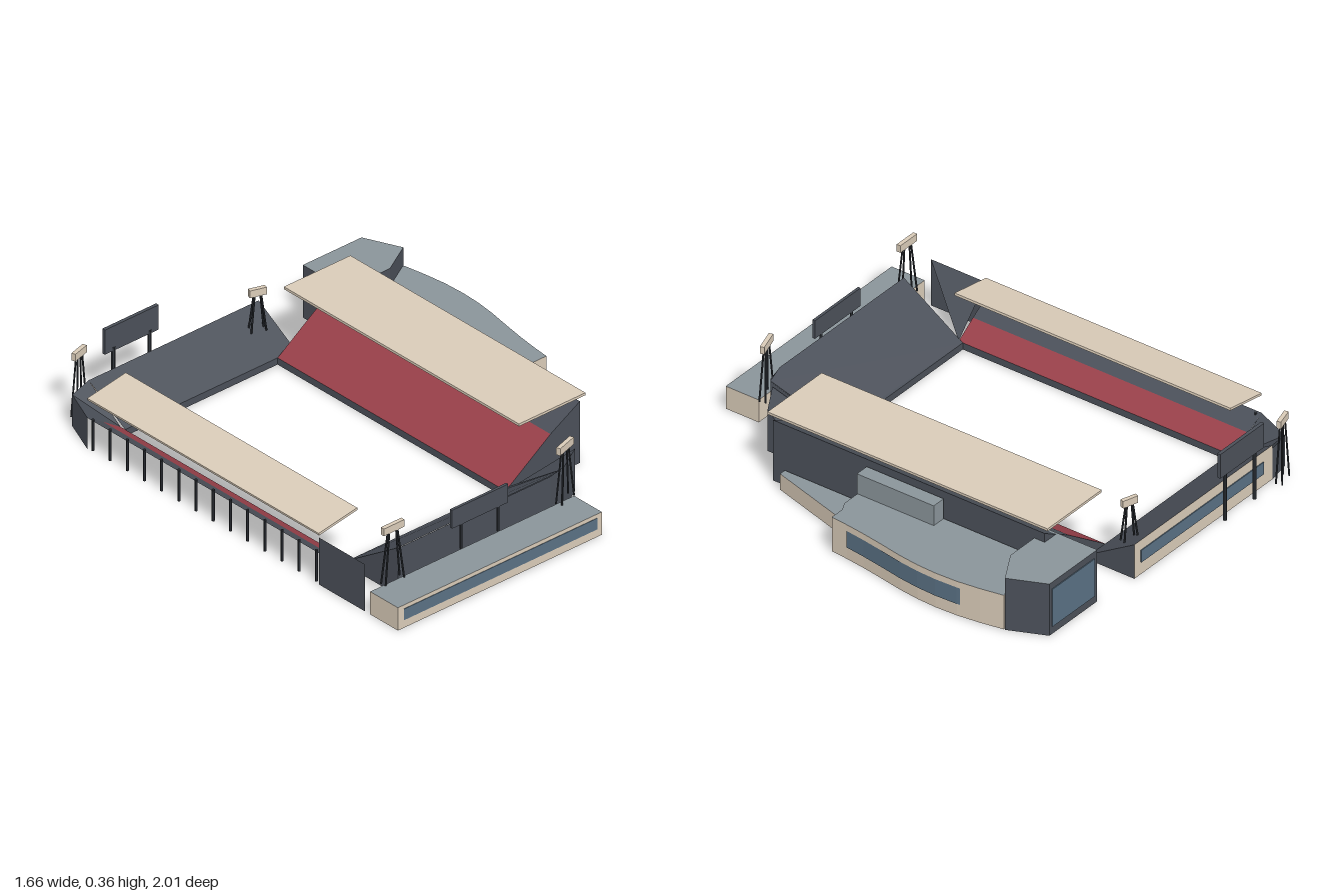
import * as THREE from 'three';

const mat = (color) => new THREE.MeshStandardMaterial({ color, flatShading: true, side: THREE.DoubleSide });

export function createModel() {
  const root = new THREE.Group();
  const beige = mat(0xd9cbb8), dark = mat(0x4b5059), slate = mat(0x8a949a);
  const red = mat(0x99404a), glass = mat(0x5a7184), steel = mat(0x2e3238);

  const add = (name, geometry, material, parent = root) => {
    const m = new THREE.Mesh(geometry, material);
    m.name = name;
    parent.add(m);
    return m;
  };
  const group = (name, parent = root) => {
    const g = new THREE.Group();
    g.name = name;
    parent.add(g);
    return g;
  };
  // Flat convex polygons, each a list of [x, y, z] corners
  const patch = (name, material, polygons, parent) => {
    const pos = [];
    for (const p of polygons)
      for (let i = 1; i < p.length - 1; i++) pos.push(...p[0], ...p[i], ...p[i + 1]);
    const g = new THREE.BufferGeometry();
    g.setAttribute('position', new THREE.Float32BufferAttribute(pos, 3));
    g.computeVertexNormals();
    return add(name, g, material, parent);
  };
  // Upright strip over a line of [x, z] points
  const strip = (name, material, line, y0, y1, parent) =>
    patch(name, material, line.slice(1).map(([x, z], i) => {
      const [px, pz] = line[i];
      return [[px, y0, pz], [x, y0, z], [x, y1, z], [px, y1, pz]];
    }), parent);
  // Building shell: walls and a flat roof, open underneath
  const shell = (name, outline, height, wall, roof) => {
    const g = group(name);
    strip('walls', wall, [...outline, outline[0]], 0, height, g);
    const top = new THREE.ShapeGeometry(new THREE.Shape(outline.map(([x, z]) => new THREE.Vector2(x, -z))));
    add('flatRoof', top.rotateX(-Math.PI / 2).translate(0, height, 0), roof, g);
    return g;
  };
  const box = (name, material, x0, x1, y0, y1, z0, z1, parent) => {
    const m = add(name, new THREE.BoxGeometry(x1 - x0, y1 - y0, z1 - z0), material, parent);
    m.position.set((x0 + x1) / 2, (y0 + y1) / 2, (z0 + z1) / 2);
    return m;
  };
  // Round bar between two points
  const bar = (name, a, b, r, parent) => {
    const va = new THREE.Vector3(...a), d = new THREE.Vector3(...b).sub(va);
    const m = add(name, new THREE.CylinderGeometry(r, r, d.length(), 6), steel, parent);
    m.position.copy(va).addScaledVector(d, 0.5);
    m.quaternion.setFromUnitVectors(new THREE.Vector3(0, 1, 0), d.normalize());
  };
  // Side stand running along z, from a profile of lip, seat break and back row
  const sideStand = (name, [[x0, y0], [x1, y1], [x2, y2]], za, zb) => {
    const g = group(name);
    const run = (n, m, xa, ya, xb, yb) =>
      patch(n, m, [[[xa, ya, za], [xa, ya, zb], [xb, yb, zb], [xb, yb, za]]], g);
    run('frontLip', dark, x0, 0, x0, y0);
    run('lowerSeats', red, x0, y0, x1, y1);
    run('upperSeats', dark, x1, y1, x2, y2);
    return g;
  };

  // East stand with closed back and ends
  const eastProfile = [[0.12, 0.03], [0.35, 0.19], [0.5, 0.275]];
  const east = sideStand('eastStand', eastProfile, -0.745, 0.555);
  patch('endWalls', dark, [-0.745, 0.555].map((z) =>
    [[0.5, 0, z], [0.12, 0, z], ...eastProfile.map(([x, y]) => [x, y, z])]), east);
  strip('backWall', dark, [[0.5, -0.745], [0.5, 0.555]], 0, 0.275, east);
  box('eastRoof', beige, 0.175, 0.515, 0.303, 0.314, -0.77, 0.57, east);

  // West stand on posts with a tilted roof
  const west = sideStand('westStand', [[-0.66, 0.03], [-0.75, 0.09], [-0.83, 0.14]], -0.77, 0.55);
  for (let i = 0; i < 14; i++) {
    const z = -0.75 + i * 0.098;
    bar('post', [-0.82, 0, z], [-0.82, 0.14, z], 0.006, west);
  }
  const westRoof = box('westRoof', beige, -0.832, -0.632, 0.236, 0.246, -0.77, 0.55, west);
  westRoof.rotation.z = 0.17;

  // South stand
  const south = group('southStand');
  patch('seats', dark, [[[-0.66, 0.03, 0.53], [0.11, 0.03, 0.53], [0.12, 0.035, 0.55],
    [0.205, 0.203, 0.793], [0.12, 0.215, 0.812], [-0.66, 0.215, 0.812]]], south);
  strip('frontLip', dark, [[-0.66, 0.53], [0.11, 0.53]], 0, 0.03, south);
  strip('backWall', dark, [[-0.66, 0.812], [0.12, 0.812], [0.205, 0.793]], 0, 0.213, south);
  patch('endWalls', dark, [
    [[-0.66, 0, 0.53], [-0.66, 0.03, 0.53], [-0.66, 0.215, 0.812], [-0.66, 0, 0.812]],
    [[0.11, 0, 0.53], [0.11, 0.03, 0.53], [0.205, 0.205, 0.793], [0.205, 0, 0.793]],
  ], south);

  // North stand with a glazed back wall
  const north = group('northStand');
  patch('seats', dark, [[[-0.66, 0.03, -0.745], [0.21, 0.03, -0.745], [0.21, 0.155, -0.953], [-0.66, 0.155, -0.953]]], north);
  strip('frontLip', dark, [[-0.66, -0.745], [0.21, -0.745]], 0, 0.03, north);
  strip('backWall', beige, [[-0.66, -0.953], [0.21, -0.953]], 0, 0.155, north);
  box('backWindow', glass, -0.6, 0.17, 0.055, 0.11, -0.957, -0.953, north);
  patch('endWall', dark, [[[0.21, 0, -0.745], [0.21, 0.03, -0.745], [0.21, 0.155, -0.953], [0.21, 0, -0.953]]], north);

  // Corner stands
  const corners = group('cornerStands');
  patch('northWestSeats', dark, [
    [[-0.66, 0.03, -0.77], [-0.83, 0.14, -0.77], [-0.76, 0.14, -0.935]],
    [[-0.66, 0.03, -0.77], [-0.76, 0.14, -0.935], [-0.66, 0.155, -0.953]],
  ], corners);
  strip('northWestWall', dark, [[-0.83, -0.77], [-0.76, -0.935], [-0.66, -0.953]], 0, 0.14, corners);
  patch('southWestSeats', dark, [[[-0.83, 0.21, 0.55], [-0.83, 0.21, 0.812], [-0.66, 0.03, 0.55]]], corners);
  strip('southWestWall', dark, [[-0.83, 0.55], [-0.83, 0.812]], 0, 0.21, corners);
  patch('southEastSeats', dark, [
    [[0.12, 0.03, 0.555], [0.215, 0.19, 0.775], [0.35, 0.19, 0.695]],
    [[0.12, 0.03, 0.555], [0.35, 0.19, 0.695], [0.35, 0.05, 0.555]],
  ], corners);
  patch('southEastWalls', dark, [
    [[0.215, 0, 0.775], [0.35, 0, 0.695], [0.35, 0.19, 0.695], [0.215, 0.19, 0.775]],
    [[0.35, 0, 0.695], [0.35, 0, 0.555], [0.35, 0.05, 0.555], [0.35, 0.19, 0.695]],
  ], corners);

  // Long block on the south side
  const block = shell('southBuilding', [[-0.83, 0.842], [0.213, 0.842], [0.213, 1], [-0.83, 1]], 0.102, beige, slate);
  box('southWindow', glass, -0.8, 0.19, 0.035, 0.085, 0.998, 1.002, block);

  // Curved building along the east side
  const curve = [[0.79, -0.77], [0.808, -0.67], [0.821, -0.57], [0.825, -0.47], [0.821, -0.38],
    [0.81, -0.29], [0.79, -0.18], [0.775, -0.09], [0.763, 0], [0.755, 0.08]];
  const curved = shell('curvedBuilding', [[0.505, -0.77], ...curve, [0.69, 0.08], [0.65, 0.1], [0.505, 0.1]], 0.155, beige, slate);
  const ribbon = [[0.819, -0.585], ...curve.slice(2, 9)].map(([x, z]) => [x + 0.004, z]);
  strip('ribbonWindow', glass, ribbon, 0.055, 0.13, curved);
  shell('lowAnnex', [[0.505, 0.1], [0.65, 0.1], [0.535, 0.495], [0.505, 0.495]], 0.072, beige, slate);
  shell('roofBox', [[0.505, -0.265], [0.567, -0.265], [0.567, 0.103], [0.505, 0.103]], 0.245, slate, slate);

  // Taller block at the north-east
  const tower = shell('northEastBuilding', [[0.42, -0.935], [0.72, -0.935], [0.79, -0.775], [0.65, -0.695], [0.42, -0.695]], 0.235, dark, slate);
  box('northEastWindow', glass, 0.44, 0.705, 0.035, 0.205, -0.939, -0.935, tower);

  // Scoreboards
  const boardN = group('northScoreboard');
  box('panel', dark, -0.555, -0.28, 0.215, 0.325, -0.992, -0.977, boardN);
  for (const x of [-0.51, -0.325]) bar('post', [x, 0, -0.98], [x, 0.23, -0.98], 0.008, boardN);
  const boardS = group('southScoreboard');
  box('panel', dark, -0.41, -0.123, 0.21, 0.292, 0.829, 0.841, boardS);
  for (const x of [-0.36, -0.17]) bar('post', [x, 0.1, 0.835], [x, 0.22, 0.835], 0.006, boardS);

  // Floodlights: a lamp box on four splayed legs
  const floodlight = (x, z, base, top, width, height, turn) => {
    const g = group('floodlight');
    g.position.set(x, 0, z);
    g.rotation.y = turn;
    box('lampBox', beige, -width / 2, width / 2, top - height, top, -0.009, 0.009, g);
    for (const sx of [-1, 1]) for (const sz of [-1, 1])
      bar('leg', [sx * width * 0.45, base, sz * 0.013], [sx * width * 0.2, top - height, sz * 0.004], 0.004, g);
  };
  floodlight(-0.71, 0.836, 0.1, 0.355, 0.105, 0.032, 0);
  floodlight(0.172, 0.836, 0.1, 0.355, 0.1, 0.032, 0.3);
  floodlight(-0.68, -0.985, 0, 0.288, 0.08, 0.032, 0.27);
  floodlight(0.122, -0.862, 0.1, 0.288, 0.07, 0.032, -0.3);
  return root;
}
